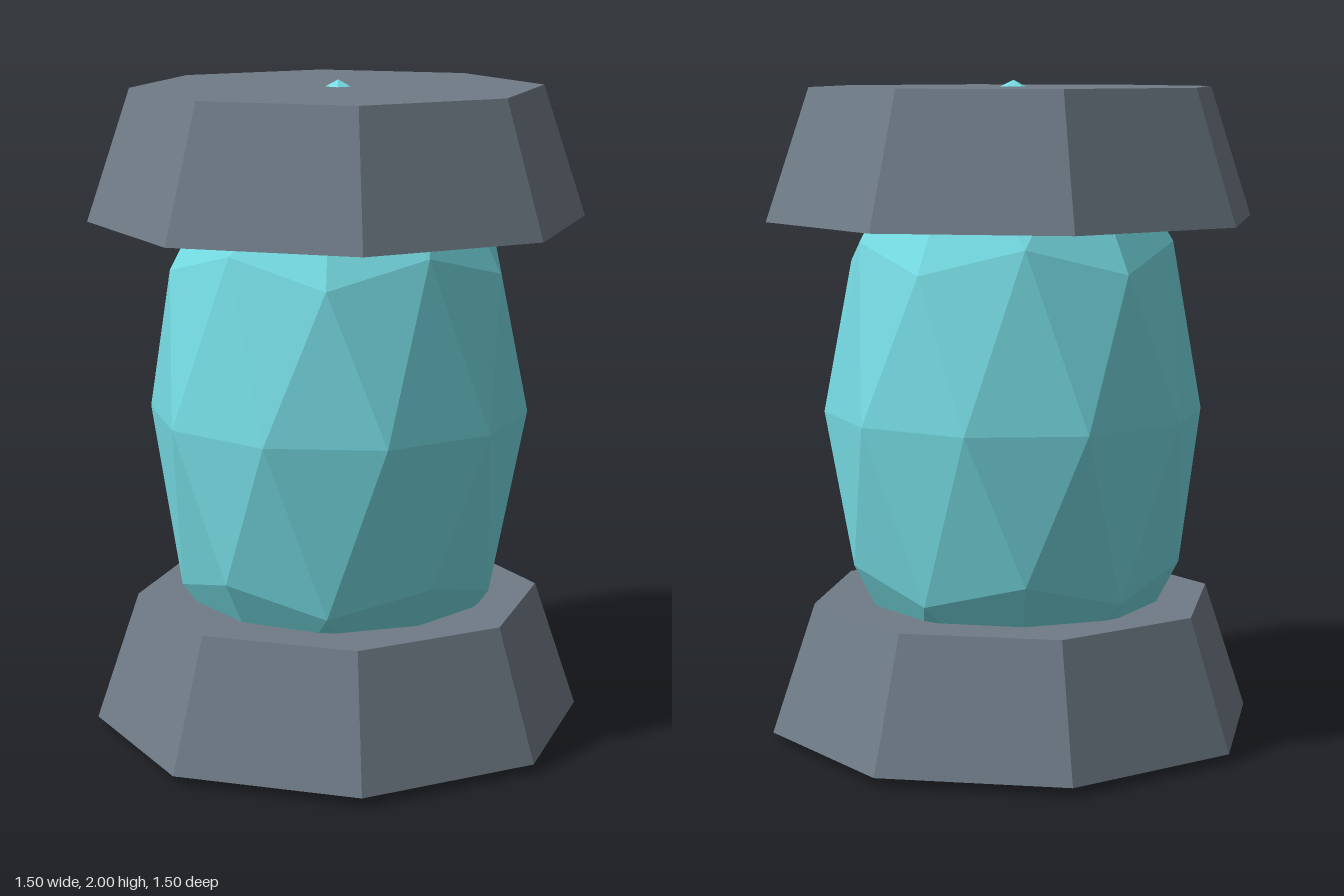
import * as THREE from 'three';

const stone = new THREE.MeshStandardMaterial({ color: 0x6f7b86, flatShading: true });
stone.name = 'slate grey';
const gem = new THREE.MeshStandardMaterial({ color: 0x76dce4, flatShading: true });
gem.name = 'pale turquoise';

// Eight-sided tapered block, widest at its base
function makeCap(name, y) {
  const cap = new THREE.Mesh(new THREE.CylinderGeometry(0.62, 0.752, 0.396, 8), stone);
  cap.name = name;
  cap.position.y = y;
  return cap;
}

export function createModel() {
  const group = new THREE.Group();
  group.name = 'crystalPedestal';

  group.add(makeCap('base', 0.226), makeCap('topCap', 1.782));

  // Faceted crystal: icosphere with a vertex at each pole, stretched upright
  const geometry = new THREE.IcosahedronGeometry(1, 1);
  geometry.rotateX(-Math.atan((1 + Math.sqrt(5)) / 2)); // vertex to the top
  geometry.rotateY(Math.PI / 2); // upper ring vertex towards +x
  geometry.scale(0.577, 1, 0.577);
  const crystal = new THREE.Mesh(geometry, gem);
  crystal.name = 'crystal';
  crystal.position.y = 1;
  group.add(crystal);

  return group;
}
